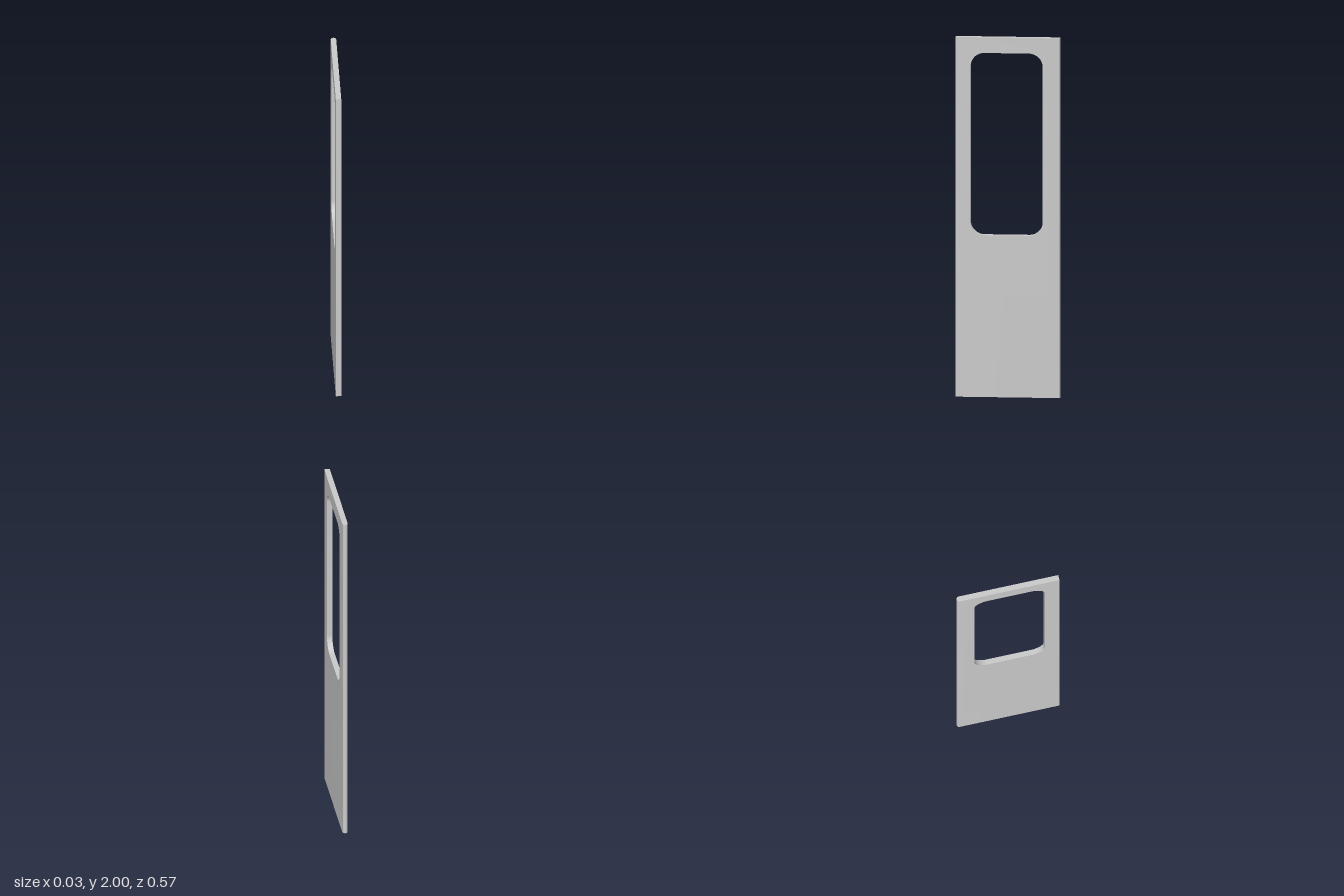
import * as THREE from 'three';
import { toCreasedNormals } from 'three/addons/utils/BufferGeometryUtils.js';

const HALF_THICK = 0.015;
const HALF_WIDTH = 0.2865;
const HEIGHT = 2;
const STEPS = 24;

// Closed outline with quarter-circle corners
function roundedOpening(u0, u1, v0, v1, r) {
  const p = new THREE.Path();
  p.moveTo(u0 + r, v0);
  p.absarc(u1 - r, v0 + r, r, -Math.PI / 2, 0);
  p.absarc(u1 - r, v1 - r, r, 0, Math.PI / 2);
  p.absarc(u0 + r, v1 - r, r, Math.PI / 2, Math.PI);
  p.absarc(u0 + r, v0 + r, r, Math.PI, Math.PI * 1.5);
  p.closePath();
  return p;
}

// Upright panel in z/y with a window, thickness along x
function panelGeometry() {
  const outline = new THREE.Shape([
    new THREE.Vector2(-HALF_WIDTH, 0),
    new THREE.Vector2(HALF_WIDTH, 0),
    new THREE.Vector2(HALF_WIDTH, HEIGHT),
    new THREE.Vector2(-HALF_WIDTH, HEIGHT),
  ]);
  outline.holes.push(roundedOpening(-0.19, 0.204, 0.9, 1.913, 0.075));

  const geo = new THREE.ExtrudeGeometry(outline, {
    depth: 1, steps: STEPS, bevelEnabled: false, curveSegments: 12,
  });
  geo.rotateY(-Math.PI / 2);

  // Space the layers by angle and round the back edge into a half circle
  const pos = geo.attributes.position;
  for (let i = 0; i < pos.count; i++) {
    const a = -pos.getX(i) * Math.PI;
    pos.setX(i, HALF_THICK * Math.cos(a));
    if (pos.getZ(i) < -HALF_WIDTH + 1e-4) {
      pos.setZ(i, -HALF_WIDTH + HALF_THICK * (1 - Math.sin(a)));
    }
  }
  // Layers run from +x to -x as before the remap
  pos.needsUpdate = true;
  for (let i = 0; i < pos.count; i++) pos.setX(i, -pos.getX(i));
  return fixWinding(geo);
}

// Make sure the faces point outwards (positive enclosed volume)
function fixWinding(geo) {
  const pos = geo.attributes.position;
  const a = new THREE.Vector3(), b = new THREE.Vector3(), c = new THREE.Vector3();
  let volume = 0;
  for (let i = 0; i < pos.count; i += 3) {
    a.fromBufferAttribute(pos, i);
    b.fromBufferAttribute(pos, i + 1);
    c.fromBufferAttribute(pos, i + 2);
    volume += a.dot(b.cross(c));
  }
  if (volume < 0) {
    for (let i = 0; i < pos.count; i += 3) {
      b.fromBufferAttribute(pos, i + 1);
      c.fromBufferAttribute(pos, i + 2);
      pos.setXYZ(i + 1, c.x, c.y, c.z);
      pos.setXYZ(i + 2, b.x, b.y, b.z);
    }
  }
  return toCreasedNormals(geo, 0.5);
}

export function createModel() {
  const model = new THREE.Group();
  model.name = 'doorLeaf';
  const panel = new THREE.Mesh(
    panelGeometry(),
    new THREE.MeshStandardMaterial({ color: 0xcccccc })
  );
  panel.name = 'windowedDoorPanel';
  model.add(panel);
  return model;
}
